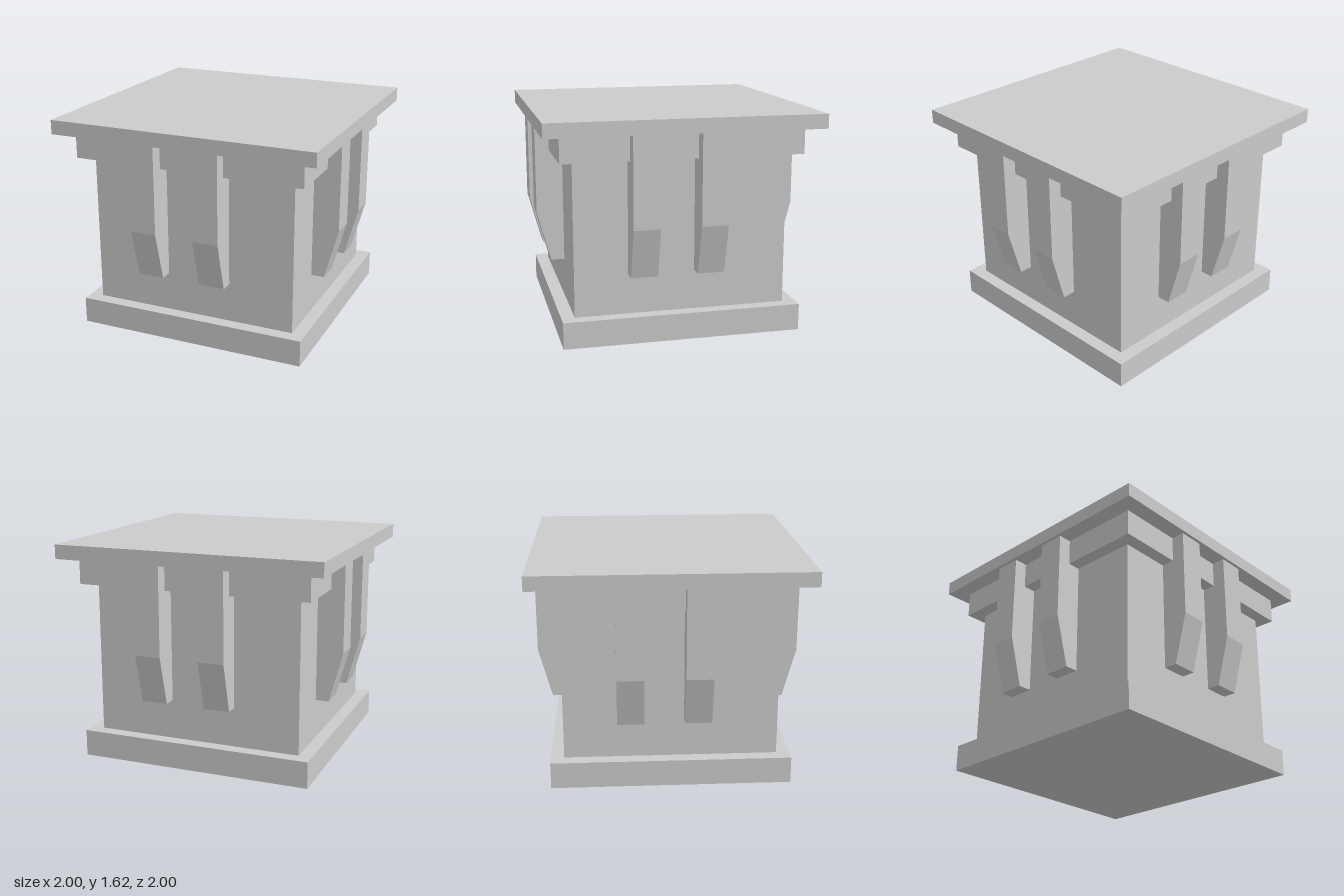
import * as THREE from 'three';

const material = new THREE.MeshStandardMaterial({ color: 0xcccccc, flatShading: true });

// Square slab of the given half width between two heights
function slab(name, half, y0, y1) {
  const mesh = new THREE.Mesh(new THREE.BoxGeometry(2 * half, y1 - y0, 2 * half), material);
  mesh.name = name;
  mesh.position.y = (y0 + y1) / 2;
  return mesh;
}

// Bracket side profile (outward, up), extruded across its width and turned to face +z
function bracketGeometry(width) {
  const profile = new THREE.Shape([
    new THREE.Vector2(0.78, 0.49),
    new THREE.Vector2(0.877, 0.49),
    new THREE.Vector2(0.977, 0.86),
    new THREE.Vector2(0.977, 1.52),
    new THREE.Vector2(0.78, 1.52),
  ]);
  const geometry = new THREE.ExtrudeGeometry(profile, { depth: width, bevelEnabled: false });
  geometry.translate(0, 0, -width / 2);
  geometry.rotateY(-Math.PI / 2);
  return geometry;
}

export function createModel() {
  const model = new THREE.Group();
  model.name = 'pedestal';

  // Stacked square slabs
  model.add(
    slab('base', 0.877, 0, 0.197),
    slab('body', 0.78, 0.197, 1.325),
    slab('upperBand', 0.877, 1.325, 1.52),
    slab('topSlab', 1, 1.52, 1.625),
  );

  // Two off-centre brackets per side, repeated around the four sides
  const geometry = bracketGeometry(0.195);
  for (let side = 0; side < 4; side++) {
    const brackets = new THREE.Group();
    brackets.name = 'sideBrackets';
    brackets.rotation.y = side * Math.PI / 2;
    for (const x of [-0.293, 0.194]) {
      const bracket = new THREE.Mesh(geometry, material);
      bracket.name = 'bracket';
      bracket.position.x = x;
      brackets.add(bracket);
    }
    model.add(brackets);
  }
  return model;
}
